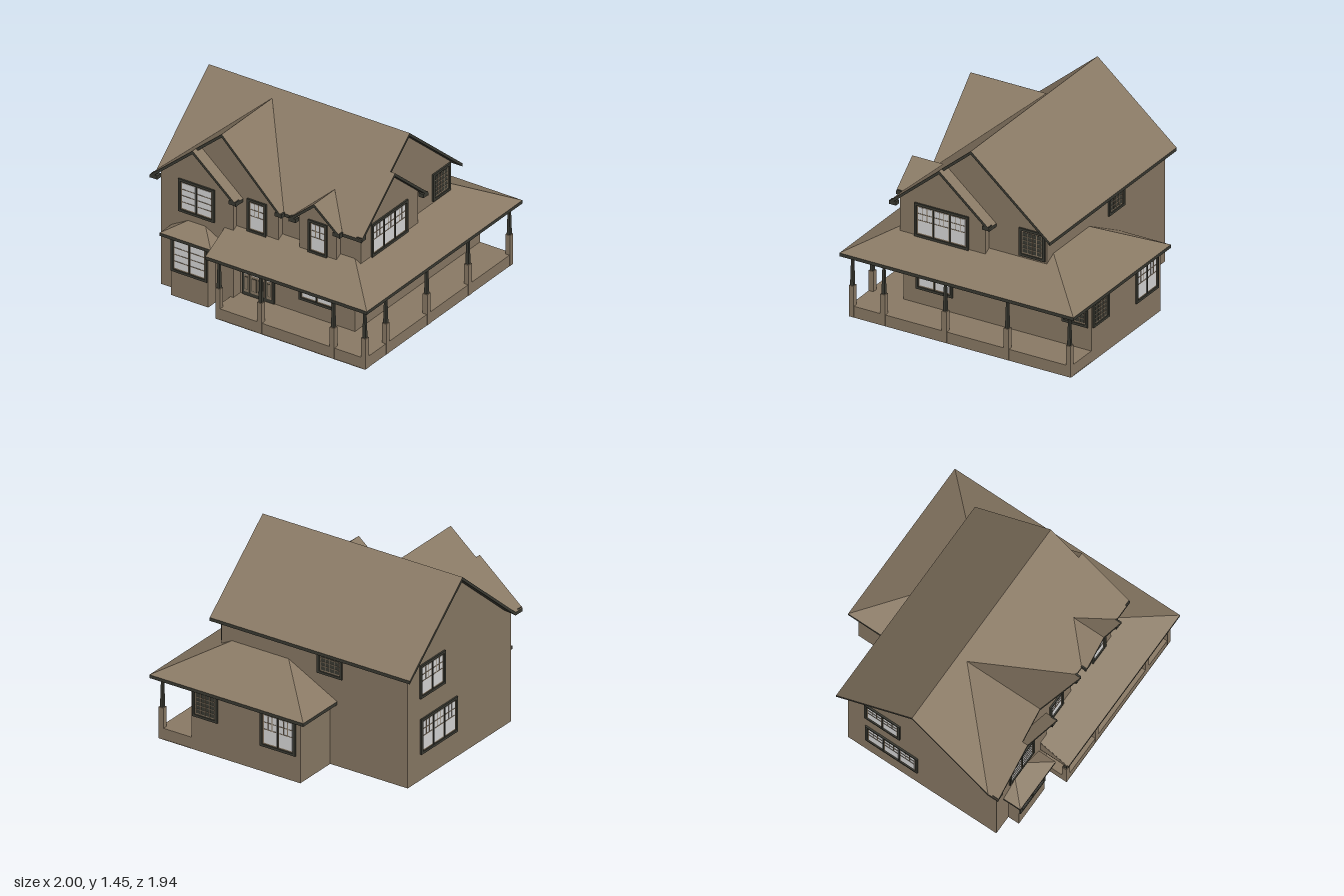
import * as THREE from 'three';

const material = (name, color) => {
  const m = new THREE.MeshStandardMaterial({ color });
  m.name = name;
  return m;
};

export function createModel() {
  const house = new THREE.Group();
  house.name = 'house';
  const siding = material('taupe siding', 0x8a7a65);
  const trim = material('dark trim', 0x3a3a32);
  const pale = material('pale glass', 0xd9d9d9);

  const add = (name, geo, mat, parent = house) => {
    const mesh = new THREE.Mesh(geo, mat);
    mesh.name = name;
    parent.add(mesh);
    return mesh;
  };
  // Box given by its minimum and maximum on each axis
  const box = (name, [x0, x1], [y0, y1], [z0, z1], mat, parent) =>
    add(name, new THREE.BoxGeometry(x1 - x0, y1 - y0, z1 - z0)
      .translate((x0 + x1) / 2, (y0 + y1) / 2, (z0 + z1) / 2), mat, parent);

  // Slab over a plan outline [x, z]; its top follows height(x, z)
  function slab(name, plan, height, thick, mats = [siding, trim, trim]) {
    let pts = plan.map(([x, z]) => new THREE.Vector2(x, -z));
    if (THREE.ShapeUtils.isClockWise(pts)) pts.reverse();
    const top = pts.map(p => [p.x, height(p.x, -p.y), -p.y]);
    const low = top.map(([x, y, z]) => [x, y - thick, z]);
    const tris = THREE.ShapeUtils.triangulateShape(pts, []);
    const up = [], side = [], down = [];
    for (const [a, b, c] of tris) {
      up.push(top[a], top[b], top[c]);
      down.push(low[a], low[c], low[b]);
    }
    top.forEach((p, i) => {
      const j = (i + 1) % top.length;
      side.push(p, low[i], low[j], p, low[j], top[j]);
    });
    const geo = new THREE.BufferGeometry();
    geo.setAttribute('position', new THREE.Float32BufferAttribute([...up, ...side, ...down].flat(), 3));
    geo.addGroup(0, up.length, 0);
    geo.addGroup(up.length, side.length, 1);
    geo.addGroup(up.length + side.length, down.length, 2);
    geo.computeVertexNormals();
    return add(name, geo, mats);
  }

  // Gabled wall block: a0..a1 across, peak [a, y], extruded from d0 to d1
  function gableWall(name, a0, a1, base, eave, [peakA, peakY], d0, d1, alongX = false) {
    const s = alongX ? -1 : 1;
    const shape = new THREE.Shape([[a0, base], [a1, base], [a1, eave], [peakA, peakY], [a0, eave]]
      .map(([a, y]) => new THREE.Vector2(s * a, y)));
    const geo = new THREE.ExtrudeGeometry(shape, { depth: d1 - d0, bevelEnabled: false }).translate(0, 0, d0);
    if (alongX) geo.rotateY(Math.PI / 2);
    add(name, geo, siding);
  }

  // Foundation footprint
  slab('foundation', [[-0.94, -0.55], [-0.27, -0.55], [-0.27, -0.92], [0.95, -0.92], [0.95, 0.92], [-0.34, 0.92],
    [-0.34, 0.73], [-0.47, 0.73], [-0.47, 0.82], [-0.79, 0.82], [-0.79, 0.73], [-0.94, 0.73]],
  () => 0.004, 0.004, [siding, siding, pale]);

  // Walls
  gableWall('mainWalls', -0.55, 0.64, 0.003, 0.93, [0.045, 1.435], -0.94, 0.67, true);
  gableWall('leftFrontWing', -0.94, -0.315, 0.003, 0.93, [-0.63, 1.195], 0.5, 0.73);
  gableWall('largeFrontGable', -0.94, 0.045, 0.64, 0.93, [-0.41, 1.38], 0.5, 0.69);
  gableWall('dormerWall', 0.225, 0.545, 0.64, 0.93, [0.385, 1.065], 0.5, 0.69);
  gableWall('rightGableWall', -0.07, 0.64, 0.64, 0.93, [0.285, 1.23], 0.6, 0.72, true);
  box('backRoom', [-0.27, 0.67], [0.003, 0.49], [-0.92, -0.5], siding);
  box('bayWall', [-0.79, -0.47], [0.003, 0.49], [0.7, 0.82], siding);

  // Main and gable roofs, one slab for each slope
  const P = 0.845, E = 0.8965, T = 0.026;
  slab('mainRoofFront', [[-1, 0.045], [0.73, 0.045], [0.73, 0.285], [0.77, 0.285], [0.77, 0.7], [0.605, 0.7],
    [0.385, 0.48], [0.165, 0.7], [0.1, 0.7], [-0.41, 0.11], [-1, 0.7]], (x, z) => 1.45 - P * (z - 0.045), T);
  slab('mainRoofBack', [[-1, 0.045], [0.73, 0.045], [0.73, -0.61], [-1, -0.61]], (x, z) => 1.45 - P * (0.045 - z), T);
  slab('rightGableRoof', [[0.66, 0.285], [0.77, 0.285], [0.77, -0.13], [0.66, -0.13]],
    (x, z) => 1.247 - P * (0.285 - z), T);
  slab('frontGableRoofLeft', [[-1, 0.7], [-0.41, 0.11], [-0.41, 0.74], [-0.63, 0.74], [-0.63, 0.785], [-1, 0.785]],
    x => E + P * (x + 1), T);
  slab('frontGableRoofRight', [[-0.41, 0.11], [-0.41, 0.74], [0.1, 0.74], [0.1, 0.7]],
    x => E + 0.977 * (0.1 - x), T);
  slab('smallGableRoofRight', [[-0.63, 0.68], [-0.63, 0.785], [-0.26, 0.785], [-0.26, 0.68]],
    x => E + P * (-0.26 - x), T);
  for (const s of [-1, 1])
    slab('dormerRoof', [[0.385, 0.48], [0.385, 0.74], [0.385 + s * 0.22, 0.74], [0.385 + s * 0.22, 0.7]],
      x => 1.082 - P * Math.abs(x - 0.385), T);
  // Boxed eave ends
  for (const [x, z0, z1] of [[-0.965, 0.735, 0.783], [-0.29, 0.735, 0.783], [0.075, 0.695, 0.738],
    [0.195, 0.695, 0.738], [0.575, 0.695, 0.738]])
    box('eaveReturn', [x - 0.03, x + 0.03], [0.875, 0.905], [z0, z1], trim);
  for (const z of [-0.1, 0.67])
    box('eaveReturn', [0.725, 0.768], [0.875, 0.905], [z - 0.028, z + 0.028], trim);

  // Wrap-around porch roof
  const EY = 0.513, S = 0.52, under = [siding, trim, siding];
  slab('porchRoofFront', [[-0.39, 0.97], [1, 0.97], [0.67, 0.64], [-0.39, 0.64]], (x, z) => EY + S * (0.97 - z), 0.024, under);
  slab('porchRoofSide', [[1, 0.97], [1, -0.97], [0.58, -0.55], [0.67, -0.55], [0.67, 0.64]], x => EY + S * (1 - x), 0.024, under);
  slab('porchRoofBack', [[1, -0.97], [-0.33, -0.97], [0.09, -0.55], [0.58, -0.55]], (x, z) => EY + S * (z + 0.97), 0.024, under);
  slab('backRoomRoofEnd', [[-0.33, -0.97], [-0.33, -0.55], [0.09, -0.55]], x => EY + S * (x + 0.33), 0.024, under);
  slab('porchCeiling', [[-0.39, 0.97], [1, 0.97], [1, -0.97], [-0.33, -0.97], [-0.33, -0.55], [0.67, -0.55],
    [0.67, 0.64], [-0.39, 0.64]], () => 0.51, 0.023, under);
  const end = new THREE.Shape([[-0.965, 0.5], [-0.65, 0.5], [-0.65, 0.675], [-0.965, 0.512]].map(p => new THREE.Vector2(...p)));
  add('porchRoofEnd', new THREE.ExtrudeGeometry(end, { depth: 0.008, bevelEnabled: false })
    .rotateY(Math.PI / 2).translate(-0.393, 0, 0), siding);

  // Bay roof
  slab('bayRoofFront', [[-0.85, 0.875], [-0.41, 0.875], [-0.555, 0.73], [-0.705, 0.73]], (x, z) => EY + 0.55 * (0.875 - z), 0.022, under);
  for (const s of [-1, 1])
    slab('bayRoofSide', [[-0.63 + s * 0.22, 0.73], [-0.63 + s * 0.22, 0.875], [-0.63 + s * 0.075, 0.73]],
      x => EY + 0.55 * (0.22 - Math.abs(x + 0.63)), 0.022, under);
  slab('bayCeiling', [[-0.85, 0.73], [-0.41, 0.73], [-0.41, 0.875], [-0.85, 0.875]], () => 0.51, 0.022, under);

  // Porch base and posts
  box('porchBaseFront', [-0.34, 0.67], [0.003, 0.09], [0.6, 0.918], siding);
  box('porchBaseSide', [0.66, 0.95], [0.003, 0.09], [-0.918, 0.918], siding);
  for (const [x, z] of [[-0.32, 0.9], [0.04, 0.9], [0.665, 0.9], [0.935, 0.9], [0.935, 0.64], [0.935, 0.13],
    [0.935, -0.385], [0.935, -0.9]]) {
    box('postPedestal', [x - 0.02, x + 0.02], [0.003, 0.25], [z - 0.02, z + 0.02], siding);
    add('postShaft', new THREE.CylinderGeometry(0.011, 0.019, 0.24, 4).rotateY(Math.PI / 4).toNonIndexed()
      .translate(x, 0.37, z), trim).geometry.computeVertexNormals();
  }

  // Window centred at (x, y, z), facing by angle; style picks the glazing bars
  function makeWindow(name, [x, y, z], angle, w, h, sashes, style = 'colonial') {
    const g = new THREE.Group();
    g.name = name;
    g.position.set(x, y, z);
    g.rotation.y = angle;
    const f = 0.019, X = w / 2, Y = h / 2;
    const bar = (x0, x1, y0, y1, d, m, n) => box(n, [x0, x1], [y0, y1], [-0.003, d], m, g);
    bar(-X, X, Y - f, Y, 0.013, trim, 'frameTop');
    bar(-X, X, -Y, -Y + f, 0.013, trim, 'frameBottom');
    for (const s of [-1, 1]) bar(s * X - (s > 0 ? f : 0), s * X + (s < 0 ? f : 0), -Y, Y, 0.013, trim, 'frameSide');
    const sw = (w - 2 * f) / sashes, yi = Y - f;
    for (let i = 0; i < sashes; i++) {
      const a = -X + f + i * sw, b = a + sw, r = 0.011, t = 0.0025;
      bar(a, b, -yi, yi, 0.003, siding, 'sash');
      bar(a + r, b - r, -yi + r, yi - r, 0.005, style === 'dark' ? trim : pale, 'glass');
      if (i) bar(a - 0.004, a + 0.004, -yi, yi, 0.011, trim, 'mullion');
      const rows = { dark: [-0.6, -0.2, 0.2, 0.6], plain: [-0.5, 0, 0.5], colonial: [0, 0.5] }[style];
      const cols = { dark: [0.25, 0.5, 0.75], plain: [], colonial: [0.34, 0.66] }[style];
      for (const k of rows) bar(a + r, b - r, k * (yi - r) - t, k * (yi - r) + t, 0.008, siding, 'glazingBar');
      for (const k of cols) {
        const c = a + r + k * (sw - 2 * r);
        bar(c - t, c + t, style === 'dark' ? -yi + r : 0, yi - r, 0.008, siding, 'glazingBar');
      }
    }
    house.add(g);
  }
  const R = Math.PI / 2, U = 0.783, L = 0.345;
  makeWindow('upperLeftWindow', [-0.63, U, 0.73], 0, 0.31, 0.265, 2, 'plain');
  makeWindow('bayWindow', [-0.63, L, 0.82], 0, 0.31, 0.28, 2, 'plain');
  makeWindow('upperMiddleWindow', [-0.138, U, 0.69], 0, 0.165, 0.265, 1);
  makeWindow('dormerWindow', [0.387, U, 0.69], 0, 0.165, 0.265, 1);
  makeWindow('porchWindow', [0.343, L, 0.64], 0, 0.305, 0.28, 2);
  makeWindow('rightUpperWindow', [0.72, U + 0.003, 0.29], R, 0.45, 0.265, 3);
  makeWindow('rightLowerWindow', [0.67, 0.348, 0.38], R, 0.305, 0.28, 2);
  makeWindow('rightBackUpperWindow', [0.67, 0.81, -0.43], R, 0.215, 0.22, 1, 'dark');
  makeWindow('backRoomSideWindow', [0.67, 0.38, -0.785], R, 0.215, 0.22, 1, 'dark');
  makeWindow('backRoomSmallWindow', [0.55, 0.38, -0.92], 2 * R, 0.215, 0.22, 1, 'dark');
  makeWindow('backRoomWindow', [-0.08, L, -0.92], 2 * R, 0.305, 0.28, 2);
  makeWindow('backUpperWindow', [-0.27, 0.81, -0.55], 2 * R, 0.215, 0.22, 1, 'dark');
  makeWindow('leftUpperWindow', [-0.94, U, -0.25], -R, 0.305, 0.265, 2);
  makeWindow('leftLowerWindow', [-0.94, L, -0.17], -R, 0.45, 0.28, 3);

  // Front door with sidelights
  const door = new THREE.Group();
  door.name = 'frontDoor';
  door.position.set(-0.16, 0, 0.64);
  house.add(door);
  const part = (n, cx, w, y0, y1, d, m) => box(n, [cx - w / 2, cx + w / 2], [y0, y1], [-0.003, d], m, door);
  part('doorFrame', 0, 0.28, 0.09, 0.445, 0.008, trim);
  part('doorLeaf', 0, 0.12, 0.12, 0.42, 0.013, siding);
  part('doorGlass', 0, 0.096, 0.265, 0.41, 0.016, pale);
  for (const s of [-1, 1]) {
    part('doorPanelEdge', s * 0.028, 0.044, 0.14, 0.245, 0.015, trim);
    part('doorPanel', s * 0.028, 0.036, 0.144, 0.241, 0.017, siding);
    part('sidelightFrame', s * 0.097, 0.046, 0.12, 0.42, 0.012, siding);
    part('sidelightGlass', s * 0.097, 0.026, 0.265, 0.41, 0.015, pale);
    part('sidelightPanelEdge', s * 0.097, 0.03, 0.14, 0.245, 0.014, trim);
    part('sidelightPanel', s * 0.097, 0.022, 0.144, 0.241, 0.016, siding);
  }
  return house;
}
